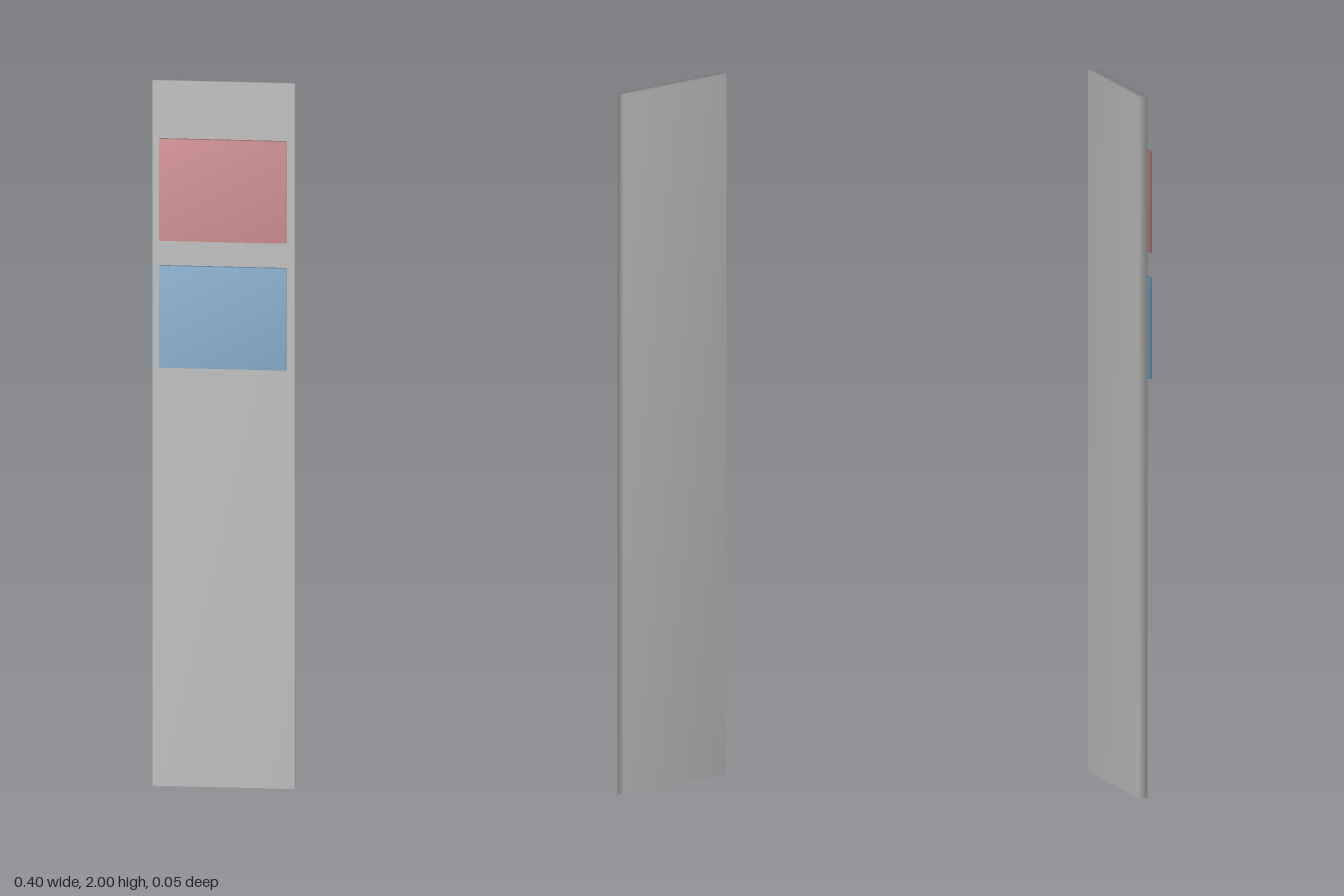
import * as THREE from 'three';
import { mergeVertices } from 'three/addons/utils/BufferGeometryUtils.js';

// Box with shared corners, so its normals blend softly over the edges
function softBox(width, height, depth) {
  const box = new THREE.BoxGeometry(width, height, depth);
  box.deleteAttribute('normal');
  box.deleteAttribute('uv');
  const geometry = mergeVertices(box);
  geometry.computeVertexNormals();
  return geometry;
}

function material(name, color) {
  const m = new THREE.MeshStandardMaterial({ color });
  m.name = name;
  return m;
}

export function createModel() {
  const model = new THREE.Group();
  model.name = 'panel';

  const add = (name, mat, size, y, z) => {
    const mesh = new THREE.Mesh(softBox(...size), mat);
    mesh.name = name;
    mesh.position.set(0, y, z);
    model.add(mesh);
  };

  // Tall upright board
  add('board', material('light grey', 0xc0c0c0), [0.4, 2, 0.025], 1, -0.0115);

  // Two plates floating just in front of the board
  const plate = [0.357, 0.288, 0.018];
  add('upperPlate', material('soft red', 0xd39292), plate, 1.694, 0.014);
  add('lowerPlate', material('soft blue', 0x8ab2d0), plate, 1.334, 0.014);

  return model;
}
